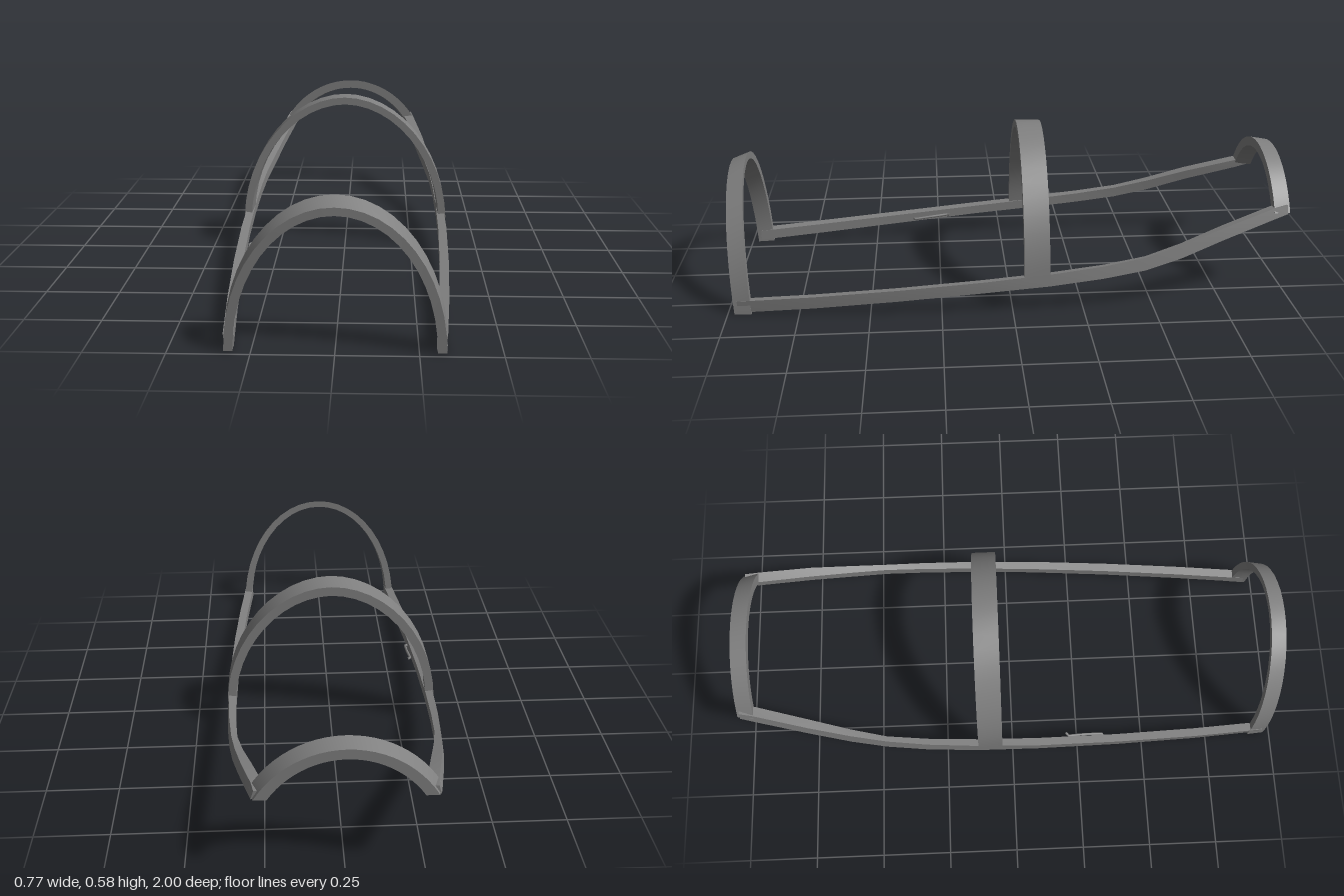
import * as THREE from 'three';
import { toCreasedNormals } from 'three/addons/utils/BufferGeometryUtils.js';

const V = (x, y, z) => new THREE.Vector3(x, y, z);

// Skin a list of four-cornered cross-sections and close both ends
function sweep(rings) {
  const pos = [];
  const tri = (...pts) => pts.forEach((p) => pos.push(p.x, p.y, p.z));
  const quad = (a, b, c, d) => { tri(a, b, c); tri(a, c, d); };
  for (let k = 0; k < rings.length - 1; k++) {
    const r = rings[k], s = rings[k + 1];
    for (let i = 0; i < 4; i++) {
      const j = (i + 1) % 4;
      quad(r[i], r[j], s[j], s[i]);
    }
  }
  const a = rings[0], b = rings[rings.length - 1];
  quad(a[3], a[2], a[1], a[0]);
  quad(b[0], b[1], b[2], b[3]);
  const geo = new THREE.BufferGeometry();
  geo.setAttribute('position', new THREE.Float32BufferAttribute(pos, 3));
  return toCreasedNormals(geo, 0.45);
}

// Arch from four edge curves: outer front, outer back, inner back, inner front
// edge = [half width, height, foot y, foot z, crown z]
function arch(edges, centerY, power = 2, steps = 24) {
  const rings = [];
  for (let k = 0; k <= steps; k++) {
    rings.push(edges.map(([a, h, footY, z0, z1]) => {
      const b = h - centerY;
      const t0 = Math.asin(Math.pow((footY - centerY) / b, power / 2));
      const t = t0 + (Math.PI - 2 * t0) * k / steps;
      const c = Math.cos(t), e = 2 / power;
      const x = a * Math.sign(c) * Math.pow(Math.abs(c), e);
      const y = centerY + b * Math.pow(Math.sin(t), e);
      return V(x, y, THREE.MathUtils.lerp(z0, z1, (y - footY) / (h - footY)));
    }));
  }
  return sweep(rings);
}

// Rail stations: z, outer top x, outer bottom x, inner x, bottom y, top y
const STATIONS = [
  [0.965, 0.334, 0.328, 0.302, 0.006, 0.052],
  [0.70, 0.354, 0.350, 0.322, 0.024, 0.069],
  [0.40, 0.370, 0.368, 0.339, 0.049, 0.092],
  [0.10, 0.379, 0.380, 0.349, 0.077, 0.118],
  [-0.13, 0.378, 0.383, 0.351, 0.097, 0.140],
  [-0.32, 0.371, 0.378, 0.347, 0.118, 0.162],
  [-0.47, 0.359, 0.367, 0.338, 0.140, 0.186],
  [-0.60, 0.343, 0.352, 0.316, 0.176, 0.222],
  [-0.75, 0.320, 0.329, 0.285, 0.230, 0.272],
  [-0.94, 0.283, 0.294, 0.245, 0.290, 0.328],
  [-0.99, 0.275, 0.284, 0.242, 0.305, 0.335],
];

function rail(side) {
  return sweep(STATIONS.map(([z, ot, ob, inn, y0, y1]) => {
    const ring = [V(side * ot, y1, z), V(side * ob, y0, z),
      V(side * inn, y0 + 0.004, z), V(side * inn, y1 - 0.004, z)];
    return side > 0 ? ring : ring.reverse();
  }));
}

export function createModel() {
  const group = new THREE.Group();
  const grey = new THREE.MeshStandardMaterial({ color: 0x808080 });
  grey.name = 'frame grey';
  const add = (name, geo) => {
    const mesh = new THREE.Mesh(geo, grey);
    mesh.name = name;
    group.add(mesh);
    return mesh;
  };

  // Curved side rails
  add('leftRail', rail(1));
  add('rightRail', rail(-1));

  // Front arch, leaning slightly forward
  add('frontArch', arch([
    [0.332, 0.455, 0.002, 0.977, 1.0],
    [0.337, 0.478, 0.002, 0.917, 0.942],
    [0.309, 0.452, 0.002, 0.917, 0.942],
    [0.304, 0.430, 0.002, 0.977, 1.0],
  ], 0));

  // Broad middle arch
  add('middleArch', arch([
    [0.384, 0.577, 0.115, -0.04, -0.04],
    [0.384, 0.575, 0.115, -0.13, -0.13],
    [0.353, 0.541, 0.115, -0.13, -0.13],
    [0.357, 0.551, 0.115, -0.04, -0.04],
  ], 0.1, 1.93));

  // Shallow rear arch
  add('rearArch', arch([
    [0.346, 0.488, 0.312, -0.94, -0.94],
    [0.332, 0.478, 0.307, -1.0, -1.0],
    [0.296, 0.444, 0.307, -1.0, -1.0],
    [0.308, 0.454, 0.312, -0.94, -0.94],
  ], 0.1));

  // Small latch handle inside the right rail
  const path = new THREE.CatmullRomCurve3([
    V(-0.345, 0.068, 0.35), V(-0.331, 0.07, 0.345), V(-0.332, 0.078, 0.28),
    V(-0.337, 0.084, 0.215), V(-0.325, 0.086, 0.205),
  ], false, 'catmullrom', 0.1);
  add('latchHandle', new THREE.TubeGeometry(path, 20, 0.005, 6));
  return group;
}
